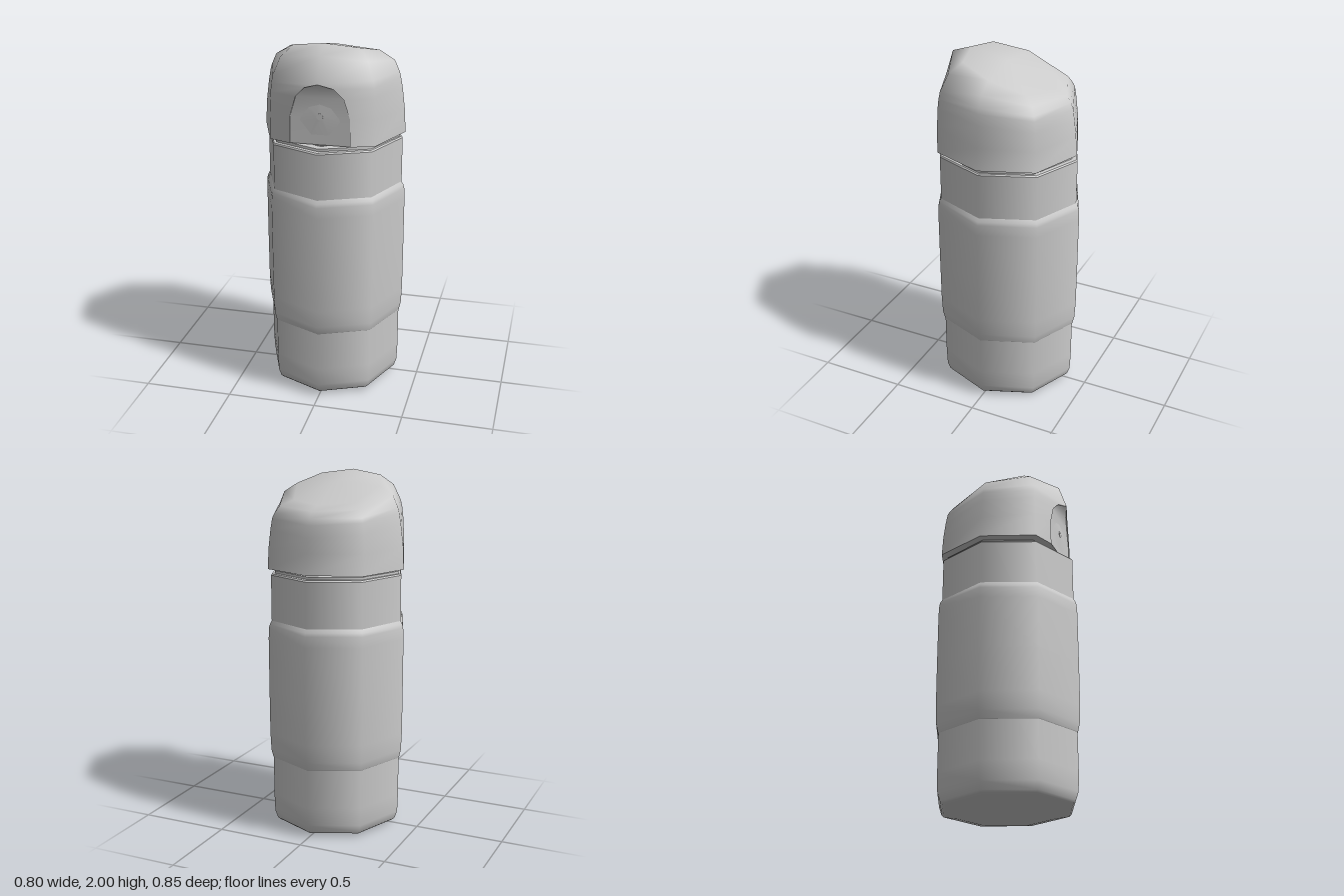
import * as THREE from 'three';

const material = new THREE.MeshStandardMaterial({ color: 0xcccccc, side: THREE.DoubleSide });
const SIDES = 8;

function addMesh(group, name, geometry) {
  const mesh = new THREE.Mesh(geometry, material);
  mesh.name = name;
  group.add(mesh);
  return mesh;
}

// Eight-sided turned part; repeating a point in the profile makes a sharp edge
function turned(profile, xScale) {
  const points = profile.map(([r, y]) => new THREE.Vector2(r, y));
  return new THREE.LatheGeometry(points, SIDES).scale(xScale, 1, 1);
}

// Skin over rows of points, all with the same number of columns
function skin(rows, normals) {
  const cols = rows[0].length;
  const index = [];
  for (let r = 0; r < rows.length - 1; r++) {
    for (let c = 0; c < cols - 1; c++) {
      const a = r * cols + c, d = a + cols;
      index.push(a, a + 1, d + 1, a, d + 1, d);
    }
  }
  const geometry = new THREE.BufferGeometry().setFromPoints(rows.flat());
  geometry.setIndex(index);
  if (normals) {
    const flat = normals.flat().flatMap((n) => [n.x, n.y, n.z]);
    geometry.setAttribute('normal', new THREE.Float32BufferAttribute(flat, 3));
  } else geometry.computeVertexNormals();
  return geometry;
}

// Lid rows from rim to crown: [radius, height] at front, front corner, side, back corner, back
const LID = [
  [[0.4, 1.485], [0.4, 1.485], [0.4, 1.485], [0.4, 1.485], [0.4, 1.485]],
  [[0.398, 1.63], [0.397, 1.63], [0.394, 1.61], [0.394, 1.6], [0.39, 1.6]],
  [[0.392, 1.74], [0.39, 1.74], [0.379, 1.73], [0.382, 1.7], [0.38, 1.68]],
  [[0.385, 1.795], [0.384, 1.79], [0.368, 1.79], [0.372, 1.76], [0.37, 1.745]],
  [[0.38, 1.82], [0.375, 1.83], [0.36, 1.82], [0.36, 1.785], [0.357, 1.78]],
  [[0.335, 1.96], [0.33, 1.92], [0.333, 1.88], [0.33, 1.825], [0.335, 1.815]],
  [[0.22, 2], [0.25, 1.976], [0.25, 1.93], [0.25, 1.855], [0.27, 1.842]],
  [[0, 1.953], [0, 1.953], [0, 1.953], [0, 1.953], [0, 1.953]],
];
// Share of the front facet cut by the arched recess, and depth of the recess panel, per row
const ARCH = [0.57, 0.57, 0.46, 0.28, 0, 0, 0, 0];
const PANEL_Z = [0.33, 0.33, 0.333, 0.347, 0.38];

function lidPoint(row, column) {
  const [r, y] = row[column <= 4 ? column : SIDES - column];
  const angle = (column * Math.PI * 2) / SIDES;
  const corner = column % 2 ? 1.025 : 1;
  return new THREE.Vector3(Math.sin(angle) * r * corner * 0.988, y, Math.cos(angle) * r * corner);
}

function buildLid(group) {
  const columns = [...Array(SIDES).keys()];
  const closed = LID.map((row) => columns.concat(0).map((c) => lidPoint(row, c)));

  // Smooth normals of the uncut dome
  const attribute = skin(closed).getAttribute('normal');
  const normals = closed.map((row, r) =>
    row.map((_, c) => new THREE.Vector3().fromBufferAttribute(attribute, r * (SIDES + 1) + c)));
  normals.forEach((row, r) => {
    const seam = row[0].clone().add(row[SIDES]).normalize();
    row[0].copy(seam);
    row[SIDES].copy(seam);
    if (r === LID.length - 1) row.forEach((n) => n.set(0, 0.94, -0.34));
  });

  // Open the front seam along the arch
  const open = (rows) => rows.map((row, r) => {
    const cut = row.map((v) => v.clone());
    cut[0].lerp(row[1], ARCH[r]);
    cut[SIDES].lerp(row[SIDES - 1], ARCH[r]);
    return cut;
  });
  const shell = open(closed);
  addMesh(group, 'lidShell', skin(shell, open(normals)));

  // Underside of the lid
  const rim = shell[0].concat(shell[0][0]);
  const centre = rim.map(() => new THREE.Vector3(0, 1.485, 0));
  addMesh(group, 'lidUnderside', skin([centre, rim]));

  // Recessed arch panel and the wall around it
  const setBack = (p, r) => new THREE.Vector3(p.x, p.y, PANEL_Z[r]);
  const arch = shell.slice(0, PANEL_Z.length);
  const left = arch.map((row) => row[0]);
  const right = arch.map((row) => row[SIDES]);
  const panel = arch.map((_, r) => [setBack(right[r], r), setBack(left[r], r)]);
  addMesh(group, 'recessPanel', skin(panel));
  addMesh(group, 'recessWallLeft', skin(left.map((p, r) => [setBack(p, r), p])));
  addMesh(group, 'recessWallRight', skin(right.map((p, r) => [p, setBack(p, r)])));
}

export function createModel() {
  const model = new THREE.Group();
  model.name = 'bottle';

  addMesh(model, 'body', turned([
    [0, 0.004], [0.29, 0], [0.372, 0.018], [0.385, 0.03], [0.401, 0.075], [0.405, 0.18],
    [0.405, 0.8], [0.405, 1.452], [0.405, 1.452], [0.399, 1.46], [0.399, 1.46], [0.3, 1.46],
  ], 0.94));

  addMesh(model, 'sleeve', turned([
    [0.404, 0.4], [0.408, 0.405], [0.419, 0.45], [0.424, 0.55], [0.425, 0.8],
    [0.425, 1.1], [0.422, 1.16], [0.416, 1.18], [0.404, 1.2],
  ], 0.94));

  addMesh(model, 'neck', turned([
    [0.372, 1.455], [0.372, 1.474], [0.372, 1.474], [0.33, 1.476],
    [0.33, 1.476], [0.33, 1.49],
  ], 0.98));

  const lid = new THREE.Group();
  lid.name = 'lid';
  model.add(lid);
  buildLid(lid);

  // Seven-sided push button with a small centre pin
  const button = addMesh(lid, 'button',
    new THREE.CylinderGeometry(0.02, 0.11, 0.004, 7).rotateX(Math.PI / 2).rotateZ(Math.PI));
  button.position.set(0, 1.638, 0.332);
  const pin = addMesh(lid, 'buttonPin', new THREE.CylinderGeometry(0.018, 0.018, 0.004, 12).rotateX(Math.PI / 2));
  pin.position.set(0, 1.638, 0.334);

  return model;
}
